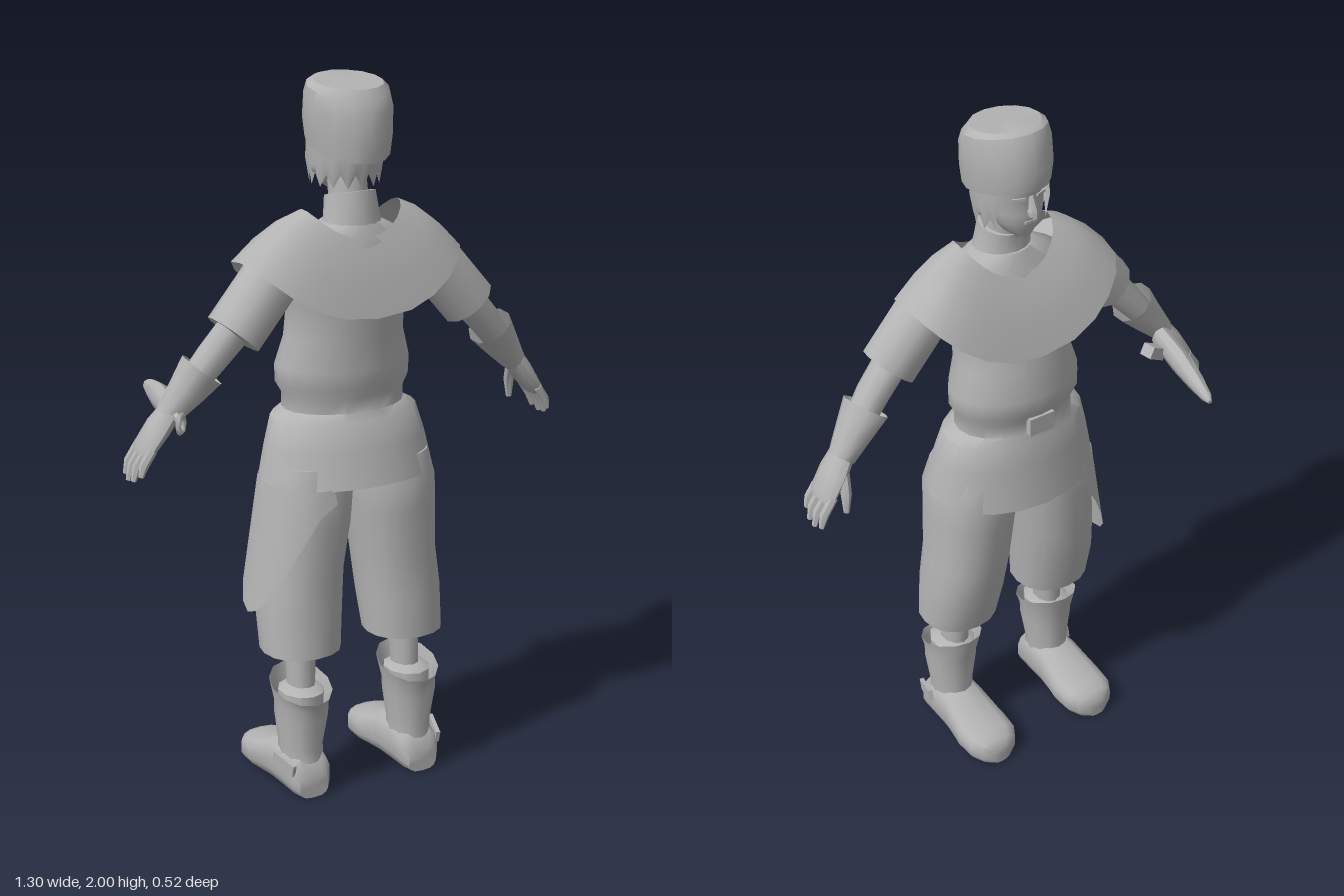
import * as THREE from 'three';
import { toCreasedNormals } from 'three/addons/utils/BufferGeometryUtils.js';

const V = (x, y, z) => new THREE.Vector3(x, y, z);
const TAU = Math.PI * 2;
const pw = (v, e) => Math.sign(v) * Math.abs(v) ** e;

// Skin between rings of points; capA / capB close the ends, open leaves a gap in each ring
function loft(rings, { capA = false, capB = false, open = false, crease = 0.8 } = {}) {
  const n = rings[0].length, pos = [], idx = [];
  rings.forEach(r => r.forEach(p => pos.push(p.x, p.y, p.z)));
  for (let i = 0; i < rings.length - 1; i++)
    for (let j = 0; j < (open ? n - 1 : n); j++) {
      const k = (j + 1) % n, a = i * n + j, b = i * n + k, c = b + n, d = a + n;
      idx.push(a, b, c, a, c, d);
    }
  const cap = (row, flip) => {
    const c = rings[row].reduce((s, p) => s.add(p), V(0, 0, 0)).divideScalar(n), m = pos.length / 3;
    pos.push(c.x, c.y, c.z);
    for (let j = 0; j < n; j++) {
      const a = row * n + j, b = row * n + (j + 1) % n;
      idx.push(m, flip ? b : a, flip ? a : b);
    }
  };
  if (capA) cap(0, true);
  if (capB) cap(rings.length - 1, false);
  const g = new THREE.BufferGeometry();
  g.setAttribute('position', new THREE.Float32BufferAttribute(pos, 3));
  g.setIndex(idx);
  return toCreasedNormals(g, crease);
}

// Ring from a rule of the angle: 0 is +z, a quarter turn is +x
const ring = (n, f) => Array.from({ length: n }, (_, j) => f(j / n * TAU));
// Flat oval ring; tilt raises the +z side
const oval = ([y, rx, rz, cz = 0, cx = 0, tilt = 0], n = 16, e = 1) => ring(n, a =>
  V(cx + rx * pw(Math.sin(a), e), y + tilt * Math.cos(a), cz + rz * pw(Math.cos(a), e)));
const stack = (rows, opts, n, e) => loft(rows.map(r => oval(r, n, e)), opts);

// Limb along points [x, y, z, radiusAcross, radiusAlongHint]
function limb(pts, hint, n = 10, opts = { capA: true, capB: true }) {
  const P = pts.map(p => V(p[0], p[1], p[2]));
  return loft(P.map((c, i) => {
    const t = P[Math.min(i + 1, P.length - 1)].clone().sub(P[Math.max(i - 1, 0)]).normalize();
    const u = t.clone().cross(hint).normalize(), v = u.clone().cross(t);
    return ring(n, a => c.clone().addScaledVector(u, pts[i][3] * Math.sin(a))
      .addScaledVector(v, pts[i][4] * Math.cos(a)));
  }), opts);
}

export function createModel() {
  const model = new THREE.Group();
  const grey = new THREE.MeshStandardMaterial({ color: 0xb3b3b3, side: THREE.DoubleSide });
  grey.name = 'plain grey';
  const add = (parent, name, geo, x = 0, y = 0, z = 0) => {
    const m = new THREE.Mesh(geo, grey);
    m.name = name;
    m.position.set(x, y, z);
    parent.add(m);
    return m;
  };
  const box = (w, h, d) => new THREE.BoxGeometry(w, h, d);
  const Z = V(0, 0, 1);

  // Tunic with pinched belt line and flared hem
  add(model, 'tunic', stack([
    [0.92, 0.225, 0.15, 0.075], [0.89, 0.26, 0.182, 0.073, 0, 0.018], [1.0, 0.238, 0.155, 0.068],
    [1.08, 0.215, 0.14, 0.06], [1.1, 0.178, 0.127, 0.055], [1.14, 0.178, 0.127, 0.055],
    [1.17, 0.195, 0.14, 0.052], [1.22, 0.195, 0.142, 0.052], [1.3, 0.172, 0.132, 0.06],
    [1.4, 0.17, 0.13, 0.075], [1.5, 0.2, 0.12, 0.09], [1.57, 0.17, 0.1, 0.1], [1.62, 0.08, 0.075, 0.1],
  ], { capA: true, capB: true }, 20));
  add(model, 'beltBuckle', box(0.08, 0.055, 0.02), 0, 1.13, -0.078);

  // Shoulder cape: raised at the shoulders, dipping front and back
  const capeRow = t => ring(24, a => {
    const s = Math.sin(a), c = Math.cos(a), mix = THREE.MathUtils.lerp;
    const bulge = 0.02 * Math.sin(t * Math.PI);
    return V(mix(0.32, 0.145, t) * pw(s, 0.85),
      mix(1.37 + 0.01 * c + 0.16 * s * s, 1.575 + 0.01 * c + 0.085 * s * s, t) + bulge,
      mix(0.08 + 0.178 * pw(c, 0.65), 0.095 + 0.095 * c, t));
  });
  add(model, 'shoulderCape', loft([0, 0.33, 0.66, 1].map(capeRow)));

  // Neck, collar and head
  add(model, 'collar', stack([
    [1.57, 0.1, 0.085, 0.1], [1.63, 0.078, 0.07, 0.105], [1.69, 0.07, 0.066, 0.095, 0, 0.015],
    [1.69, 0.058, 0.054, 0.09, 0, 0.012],
  ]));
  add(model, 'neck', stack([[1.6, 0.055, 0.055, 0.1], [1.78, 0.052, 0.055, 0.07]]));
  add(model, 'head', stack([
    [1.69, 0.022, 0.022, 0.006], [1.705, 0.045, 0.045, 0.025], [1.735, 0.066, 0.066, 0.035],
    [1.765, 0.076, 0.075, 0.042], [1.8, 0.083, 0.082, 0.054], [1.83, 0.087, 0.096, 0.058],
    [1.89, 0.088, 0.1, 0.06],
  ], { capA: true, capB: true }, 18));
  add(model, 'nose', limb([
    [0, 1.82, -0.033, 0.007, 0.006], [0, 1.785, -0.043, 0.012, 0.015], [0, 1.772, -0.042, 0.016, 0.02],
    [0, 1.764, -0.03, 0.01, 0.008]], Z, 6));
  add(model, 'mouth', box(0.036, 0.007, 0.012), 0, 1.742, -0.028);
  for (const s of [-1, 1]) {
    const brow = add(model, 'brow', box(0.034, 0.007, 0.012), s * 0.034, 1.815, -0.024);
    brow.rotation.y = s * -0.35;
    const ear = add(model, 'ear', new THREE.SphereGeometry(0.03, 8, 6), s * 0.09, 1.775, 0.065);
    ear.scale.set(0.4, 1, 0.65);
  }

  // Jagged hair below the hat, open at the face
  const hairRow = (y, r, jag) => Array.from({ length: 21 }, (_, j) => {
    const a = (j / 20 - 0.5) * 4.3;
    return V(r * Math.sin(a), y + (j % 2 ? jag : -jag), 0.065 + (r + 0.008) * Math.cos(a));
  });
  add(model, 'hair', loft([hairRow(1.73, 0.092, 0.018), hairRow(1.78, 0.103, 0.004), hairRow(1.86, 0.1, 0)],
    { open: true }));

  // Tall round hat tipped backwards
  add(model, 'hat', stack([
    [1.815, 0.107, 0.135, 0.08, 0, -0.028], [1.87, 0.115, 0.138, 0.08, 0, -0.026],
    [1.94, 0.117, 0.128, 0.085, 0, -0.025], [1.972, 0.112, 0.112, 0.085, 0, -0.022],
    [1.988, 0.095, 0.095, 0.085, 0, -0.012],
  ], { capA: true, capB: true, crease: 0.6 }, 14));

  for (const s of [-1, 1]) {
    // Arm: sleeve, forearm, flared cuff and hand
    const arm = new THREE.Group();
    arm.name = s > 0 ? 'leftArm' : 'rightArm';
    arm.scale.x = s;
    model.add(arm);
    add(arm, 'sleeve', limb([
      [0.16, 1.56, 0.105, 0.07, 0.075], [0.25, 1.48, 0.11, 0.08, 0.08], [0.36, 1.35, 0.115, 0.08, 0.08],
      [0.345, 1.37, 0.115, 0.05, 0.05]].map((p, i) => i < 3 ? p : [0.361, 1.349, 0.115, 0.05, 0.05]), Z, 12));
    add(arm, 'forearm', limb([
      [0.32, 1.4, 0.115, 0.05, 0.05], [0.42, 1.29, 0.105, 0.045, 0.048], [0.53, 1.155, 0.085, 0.032, 0.04]], Z));
    add(arm, 'cuff', limb([
      [0.445, 1.262, 0.1, 0.064, 0.07], [0.49, 1.205, 0.092, 0.05, 0.056], [0.54, 1.145, 0.08, 0.034, 0.042]],
      Z, 10, {}));
    add(arm, 'palm', limb([
      [0.53, 1.16, 0.085, 0.03, 0.04], [0.565, 1.115, 0.078, 0.03, 0.052], [0.605, 1.06, 0.073, 0.022, 0.054],
      [0.613, 1.045, 0.073, 0.015, 0.05]], Z));
    for (let i = 0; i < 4; i++) {
      const z = 0.03 + i * 0.029, l = [0.9, 1, 0.95, 0.75][i];
      add(arm, 'finger', limb([
        [0.6, 1.065, z, 0.013, 0.013], [0.6 + 0.034 * l, 1.065 - 0.05 * l, z, 0.013, 0.013],
        [0.6 + 0.046 * l, 1.065 - 0.09 * l, z, 0.007, 0.008]], Z, 6));
    }
    add(arm, 'thumb', limb([
      [0.553, 1.125, 0.05, 0.016, 0.016], [0.565, 1.07, 0.02, 0.015, 0.015], [0.57, 1.015, 0.015, 0.008, 0.008]],
      Z, 6));

    // Leg: knee-length breeches, shin, boot
    const leg = new THREE.Group();
    leg.name = s > 0 ? 'leftLeg' : 'rightLeg';
    leg.scale.x = s;
    model.add(leg);
    add(leg, 'breeches', stack([
      [0.45, 0.085, 0.085, 0.11, 0.163], [0.42, 0.112, 0.108, 0.11, 0.163], [0.54, 0.118, 0.122, 0.092, 0.158],
      [0.66, 0.117, 0.13, 0.08, 0.147], [0.8, 0.122, 0.14, 0.083, 0.134], [0.88, 0.125, 0.145, 0.08, 0.13],
      [0.96, 0.115, 0.13, 0.075, 0.12]], { capA: true, capB: true }, 16, 0.9));
    add(leg, 'shin', stack([[0.2, 0.035, 0.045, 0.125, 0.17], [0.5, 0.045, 0.055, 0.115, 0.163]], {}, 10));
    add(leg, 'sock', stack([
      [0.22, 0.06, 0.075, 0.13, 0.172], [0.3, 0.064, 0.075, 0.128, 0.17], [0.315, 0.04, 0.05, 0.125, 0.17]],
      { capB: true }, 10));
    add(leg, 'bootShaft', stack([
      [0.1, 0.06, 0.075, 0.132, 0.175], [0.14, 0.06, 0.072, 0.132, 0.175], [0.23, 0.074, 0.082, 0.135, 0.174],
      [0.265, 0.074, 0.085, 0.135, 0.173], [0.315, 0.086, 0.1, 0.13, 0.172, -0.03]], {}, 12));
    add(leg, 'bootFoot', loft([
      [0.217, 0.045, 0.07], [0.195, 0.062, 0.115], [0.14, 0.067, 0.14], [0.07, 0.07, 0.138], [0.02, 0.076, 0.12],
      [-0.03, 0.083, 0.1], [-0.085, 0.08, 0.09], [-0.12, 0.06, 0.078], [-0.136, 0.03, 0.055],
    ].map(([z, w, h]) => ring(14, a =>
      V(0.176 + w * pw(Math.sin(a), 0.7), h / 2 + h / 2 * pw(Math.cos(a), 0.7), z))), { capA: true, capB: true }));
    const strap = add(leg, 'bootStrap', box(0.012, 0.035, 0.085), 0.243, 0.098, 0.165);
    strap.rotation.set(0.25, -0.25, 0);
  }

  // Cloth flap draped around one hip
  const flapRow = t => Array.from({ length: 13 }, (_, j) => {
    const a = -0.1 + j / 12 * (Math.PI + 0.2), drop = 0.33 * Math.max(0, Math.sin(a)) ** 1.3 + 0.04;
    return V(-0.13 - (0.125 + 0.055 * t) * Math.sin(a), 0.91 - drop * t, 0.08 + (0.15 + 0.006 * t) * Math.cos(a));
  });
  add(model, 'hipFlap', loft([0, 0.33, 0.67, 1].map(flapRow), { open: true }));

  // Sheathed knife held in one hand, with a ring at the end of the grip
  const knife = new THREE.Group();
  knife.name = 'knife';
  model.add(knife);
  const Y = V(0, 1, 0);
  add(knife, 'sheath', limb([
    [-0.51, 1.15, 0.04, 0.03, 0.035], [-0.485, 1.143, -0.08, 0.03, 0.038], [-0.463, 1.135, -0.18, 0.024, 0.027],
    [-0.45, 1.128, -0.24, 0.016, 0.017], [-0.444, 1.125, -0.265, 0.006, 0.006]], Y, 8));
  add(knife, 'grip', limb([[-0.545, 1.155, 0.18, 0.011, 0.011], [-0.51, 1.15, 0.03, 0.013, 0.013]], Y, 6));
  const end = add(knife, 'gripRing', new THREE.TorusGeometry(0.024, 0.008, 5, 6), -0.552, 1.155, 0.195);
  end.rotation.y = 0.85;
  const clip = add(knife, 'sheathClip', box(0.06, 0.035, 0.04), -0.447, 1.15, -0.005);
  clip.rotation.set(0, 0.15, 0.5);

  return model;
}
